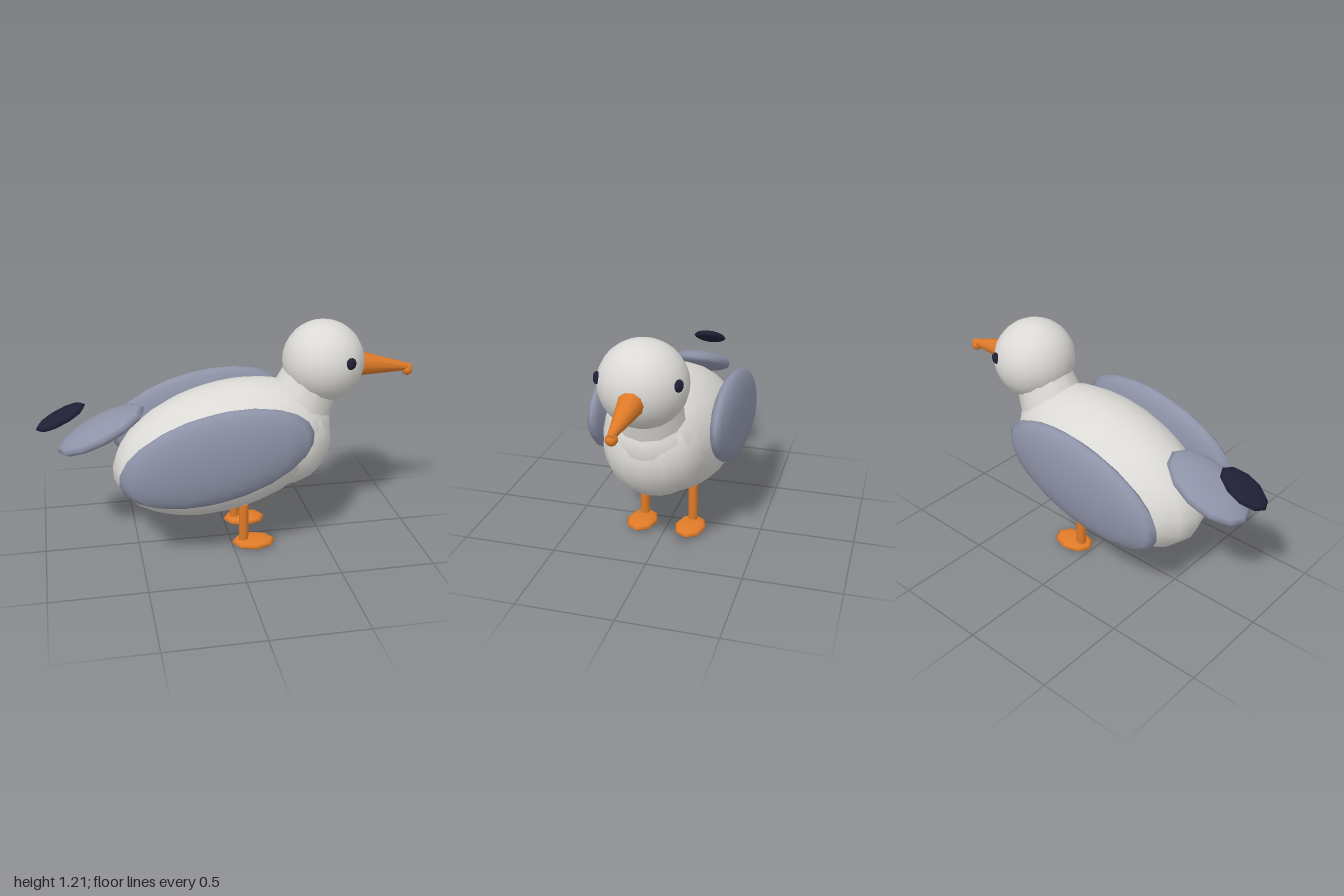
import * as THREE from 'three';

const paint = (name, color) => {
  const m = new THREE.MeshStandardMaterial({ color });
  m.name = name;
  return m;
};

export function createModel() {
  const bird = new THREE.Group();
  bird.name = 'seabird';

  const plumage = paint('pale plumage', 0xdcdad6);
  const wingGrey = paint('wing grey', 0x8e93a8);
  const orange = paint('orange', 0xe07b28);
  const dark = paint('dark', 0x1f2036);

  const add = (name, geometry, material, [x, y, z], tilt = 0) => {
    const mesh = new THREE.Mesh(geometry, material);
    mesh.name = name;
    mesh.position.set(x, y, z);
    mesh.rotation.z = tilt;
    bird.add(mesh);
    return mesh;
  };

  // Scaled sphere given by its three radii
  const ellipsoid = (name, material, pos, [rx, ry, rz], tilt, wide, high) =>
    add(name, new THREE.SphereGeometry(1, wide, high).scale(rx, ry, rz), material, pos, tilt);

  // Body, breast, neck and head
  ellipsoid('body', plumage, [-0.035, 0.55, 0], [0.6, 0.34, 0.34], 0.25, 20, 14);
  ellipsoid('breast', plumage, [0.28, 0.59, 0], [0.27, 0.27, 0.27], 0, 16, 12);
  add('neck', new THREE.CylinderGeometry(0.14, 0.175, 0.25, 12), plumage, [0.43, 0.893, 0], -0.4);
  ellipsoid('head', plumage, [0.5, 0.995, 0], [0.215, 0.215, 0.222], 0, 20, 16);

  // Beak: tapered cone pointing forward and slightly down, with a hooked tip
  add('beak', new THREE.CylinderGeometry(0.016, 0.066, 0.3, 10), orange, [0.838, 0.947, 0], -Math.PI / 2 - 0.13);
  ellipsoid('beakTip', orange, [0.967, 0.912, 0], [0.029, 0.029, 0.029], 0, 10, 8);

  // Tail and its dark tip
  ellipsoid('tail', wingGrey, [-0.67, 0.692, 0], [0.25, 0.055, 0.165], 0.44, 12, 8);
  ellipsoid('tailTip', dark, [-0.87, 0.777, 0], [0.142, 0.03, 0.092], 0.45, 10, 6);

  // Paired parts
  for (const side of [1, -1]) {
    ellipsoid('wing', wingGrey, [-0.115, 0.62, side * 0.317], [0.505, 0.24, 0.076], 0.22, 16, 12);
    const eye = ellipsoid('eye', dark, [0.59, 1.035, side * 0.197], [0.03, 0.031, 0.018], 0, 10, 8);
    eye.rotation.y = side * 0.3;
    add('leg', new THREE.CylinderGeometry(0.026, 0.026, 0.23, 8), orange, [0.055, 0.145, side * 0.135]);
    ellipsoid('foot', orange, [0.11, 0.03, side * 0.135], [0.12, 0.025, 0.085], 0, 8, 6);
  }

  return bird;
}
